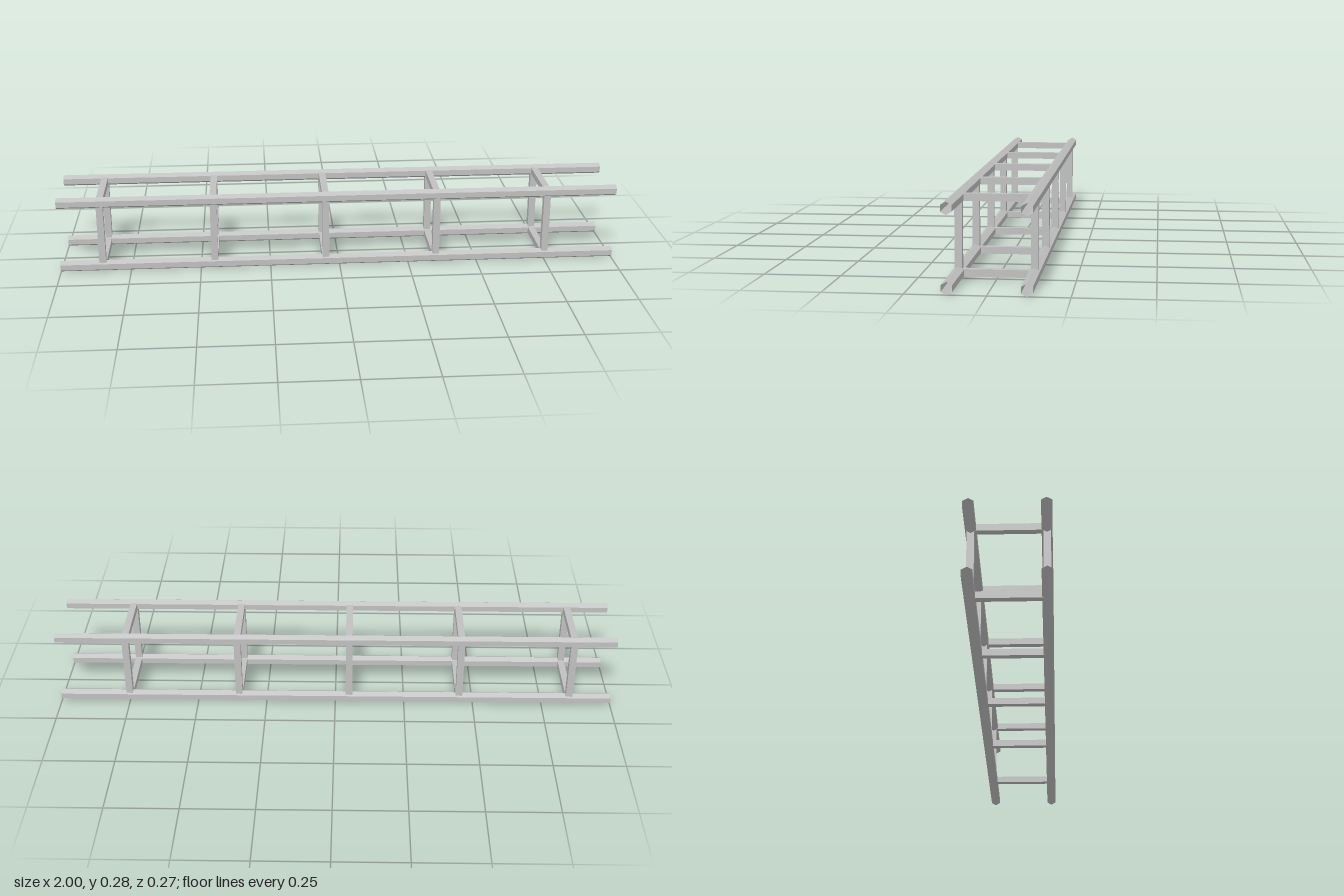
import * as THREE from 'three';

export function createModel() {
  const model = new THREE.Group();
  model.name = 'boxTruss';
  const steel = new THREE.MeshStandardMaterial({ color: 0xc0c0c0, flatShading: true, side: THREE.DoubleSide });
  steel.name = 'steelGrey';

  const half = 0.12;      // half spacing between rail axes
  const midY = 0.14;      // height of the truss axis
  const railRadius = 0.02;
  const bar = 0.024;      // thickness of the square braces

  const add = (parent, geometry, name, x, y, z) => {
    const mesh = new THREE.Mesh(geometry, steel);
    mesh.name = name;
    mesh.position.set(x, y, z);
    parent.add(mesh);
  };

  // Four open hexagonal tubes along x, with a ridge on top and below
  const railGeometry = new THREE.CylinderGeometry(railRadius, railRadius, 2, 6, 1, true)
    .rotateY(Math.PI / 6)
    .rotateZ(Math.PI / 2);
  for (const sy of [-1, 1]) {
    for (const sz of [-1, 1]) {
      add(model, railGeometry, `${sy > 0 ? 'upper' : 'lower'}${sz > 0 ? 'Front' : 'Back'}Rail`,
        0, midY + sy * half, sz * half);
    }
  }

  // Five square frames, each brace running between rail axes
  const uprightGeometry = new THREE.BoxGeometry(bar, 2 * half, bar);
  const crossGeometry = new THREE.BoxGeometry(bar, bar, 2 * half);
  for (let i = 0; i < 5; i++) {
    const frame = new THREE.Group();
    frame.name = `braceFrame${i + 1}`;
    frame.position.set(-0.85 + i * 0.4, midY, 0);
    for (const s of [-1, 1]) {
      add(frame, uprightGeometry, s > 0 ? 'frontUpright' : 'backUpright', 0, 0, s * half);
      add(frame, crossGeometry, s > 0 ? 'upperCrossbar' : 'lowerCrossbar', 0, s * half, 0);
    }
    model.add(frame);
  }
  return model;
}
